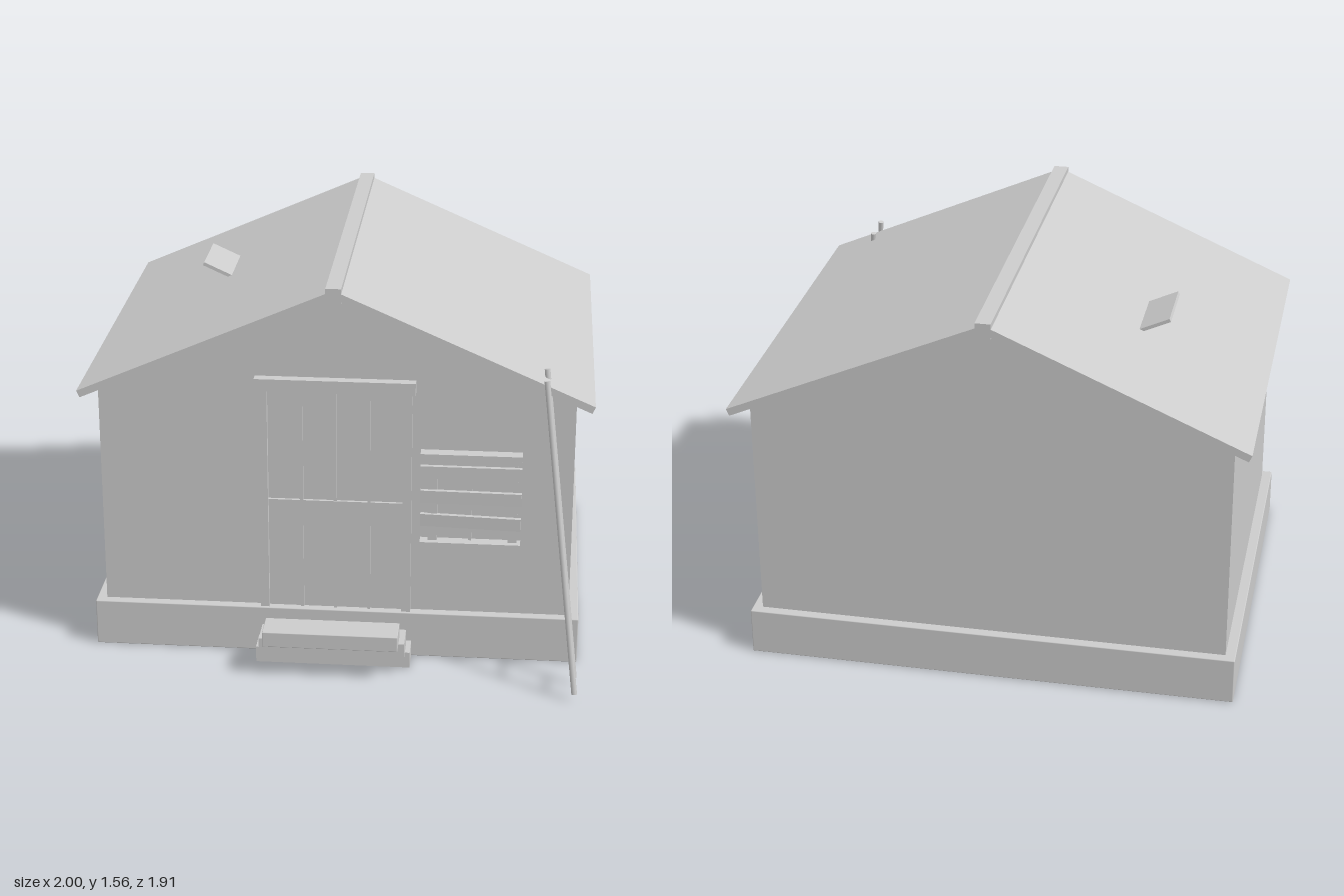
import * as THREE from 'three';
import { RoundedBoxGeometry } from 'three/addons/geometries/RoundedBoxGeometry.js';

export function createModel() {
  const model = new THREE.Group();
  model.name = 'cabin';
  const grey = new THREE.MeshStandardMaterial({ color: 0xcccccc });
  grey.name = 'plain grey';

  const add = (name, geometry, parent = model) => {
    const mesh = new THREE.Mesh(geometry, grey);
    mesh.name = name;
    parent.add(mesh);
    return mesh;
  };
  const group = (name) => {
    const g = new THREE.Group();
    g.name = name;
    model.add(g);
    return g;
  };
  // Box given by its minimum and maximum on each axis
  const box = (name, [x0, x1], [y0, y1], [z0, z1], parent, radius = 0) => {
    const size = [x1 - x0, y1 - y0, z1 - z0];
    const geometry = radius
      ? new RoundedBoxGeometry(...size, 2, radius)
      : new THREE.BoxGeometry(...size);
    const mesh = add(name, geometry, parent);
    mesh.position.set((x0 + x1) / 2, (y0 + y1) / 2, (z0 + z1) / 2);
    return mesh;
  };
  // Front outline pushed along z from z0 to z1
  const prism = (name, points, z0, z1) => {
    const shape = new THREE.Shape(points.map(([x, y]) => new THREE.Vector2(x, y)));
    const mesh = add(name, new THREE.ExtrudeGeometry(shape, { depth: z1 - z0, bevelEnabled: false }));
    mesh.position.z = z0;
    return mesh;
  };
  const rod = (name, a, b, radius, parent) => {
    const mesh = add(name, new THREE.CylinderGeometry(radius, radius, a.distanceTo(b), 8), parent);
    mesh.position.copy(a).add(b).multiplyScalar(0.5);
    mesh.quaternion.setFromUnitVectors(new THREE.Vector3(0, 1, 0), b.clone().sub(a).normalize());
    return mesh;
  };

  // Plinth and gabled walls
  box('foundation', [-0.97, 0.97], [0, 0.19], [-0.918, 0.627], model, 0.004);
  prism('walls', [[-0.93, 0.18], [0.93, 0.18], [0.93, 1.113], [0, 1.518], [-0.93, 1.113]], -0.88, 0.59);

  // Roof with square-cut eaves and a ridge beam
  prism('roof', [
    [-1, 1.112], [-0.988, 1.085], [0, 1.516], [0.988, 1.085], [1, 1.112], [0, 1.548],
  ], -0.957, 0.665);
  box('ridgeBeam', [-0.03, 0.03], [1.495, 1.556], [-0.958, 0.667]);

  // Propped-up roof hatch
  const hatch = add('roofHatch', new THREE.BoxGeometry(0.135, 0.014, 0.265));
  hatch.position.set(-0.557, 1.348, -0.282);
  hatch.rotation.z = -0.43;

  // Door with frame, battens and a middle rail
  const door = group('door');
  for (const s of [-1, 1]) {
    box('doorJamb', [s * 0.2825 - 0.0175, s * 0.2825 + 0.0175], [0.19, 1.12], [0.58, 0.617], door);
  }
  box('doorHeader', [-0.313, 0.313], [1.12, 1.17], [0.58, 0.63], door);
  box('doorPanel', [-0.265, 0.265], [0.19, 1.11], [0.58, 0.594], door);
  for (const x of [-0.1325, 0, 0.1325]) {
    box('doorBatten', [x - 0.006, x + 0.006], [0.19, 1.11], [0.59, 0.604], door);
  }
  box('doorRail', [-0.265, 0.265], [0.643, 0.657], [0.59, 0.606], door);

  // Stacked steps, each one set further out
  const steps = group('steps');
  box('bottomStep', [-0.307, 0.307], [0, 0.066], [0.6, 0.73], steps);
  box('middleStep', [-0.288, 0.288], [0.067, 0.134], [0.665, 0.79], steps);
  box('topStep', [-0.266, 0.266], [0.135, 0.198], [0.733, 0.86], steps, 0.003);

  // Boarded-up window
  const win = group('window');
  box('windowHead', [0.335, 0.73], [0.86, 0.885], [0.58, 0.64], win);
  box('windowSill', [0.335, 0.73], [0.485, 0.51], [0.58, 0.64], win);
  for (const [x0, x1] of [[0.365, 0.402], [0.68, 0.715]]) {
    box('windowJamb', [x0, x1], [0.51, 0.86], [0.58, 0.617], win);
  }
  box('windowMullion', [0.525, 0.537], [0.51, 0.86], [0.58, 0.606], win);
  box('windowTopRail', [0.4, 0.68], [0.835, 0.86], [0.58, 0.606], win);
  // Each board: height, depth, twist
  for (const [y, z, turn] of [[0.807, 0.628, 0], [0.702, 0.627, -0.02], [0.6, 0.63, -0.06]]) {
    const board = add('windowBoard', new THREE.BoxGeometry(0.395, 0.051, 0.018), win);
    board.position.set(0.533, y, z);
    board.rotation.y = turn;
  }

  // Leaning ladder
  const ladder = group('ladder');
  const foot = new THREE.Vector3(0.957, 0.03, 0.945);
  const head = new THREE.Vector3(0.813, 1.225, 0.7);
  const across = new THREE.Vector3(0, 0, -0.134);
  rod('ladderRail', foot, head, 0.011, ladder);
  rod('ladderRail', foot.clone().add(across), head.clone().add(across), 0.011, ladder);
  for (let i = 0; i < 6; i++) {
    const p = foot.clone().lerp(head, (0.095 + 0.2 * i) / 1.195);
    rod('ladderRung', p, p.clone().add(across), 0.006, ladder);
  }

  return model;
}
